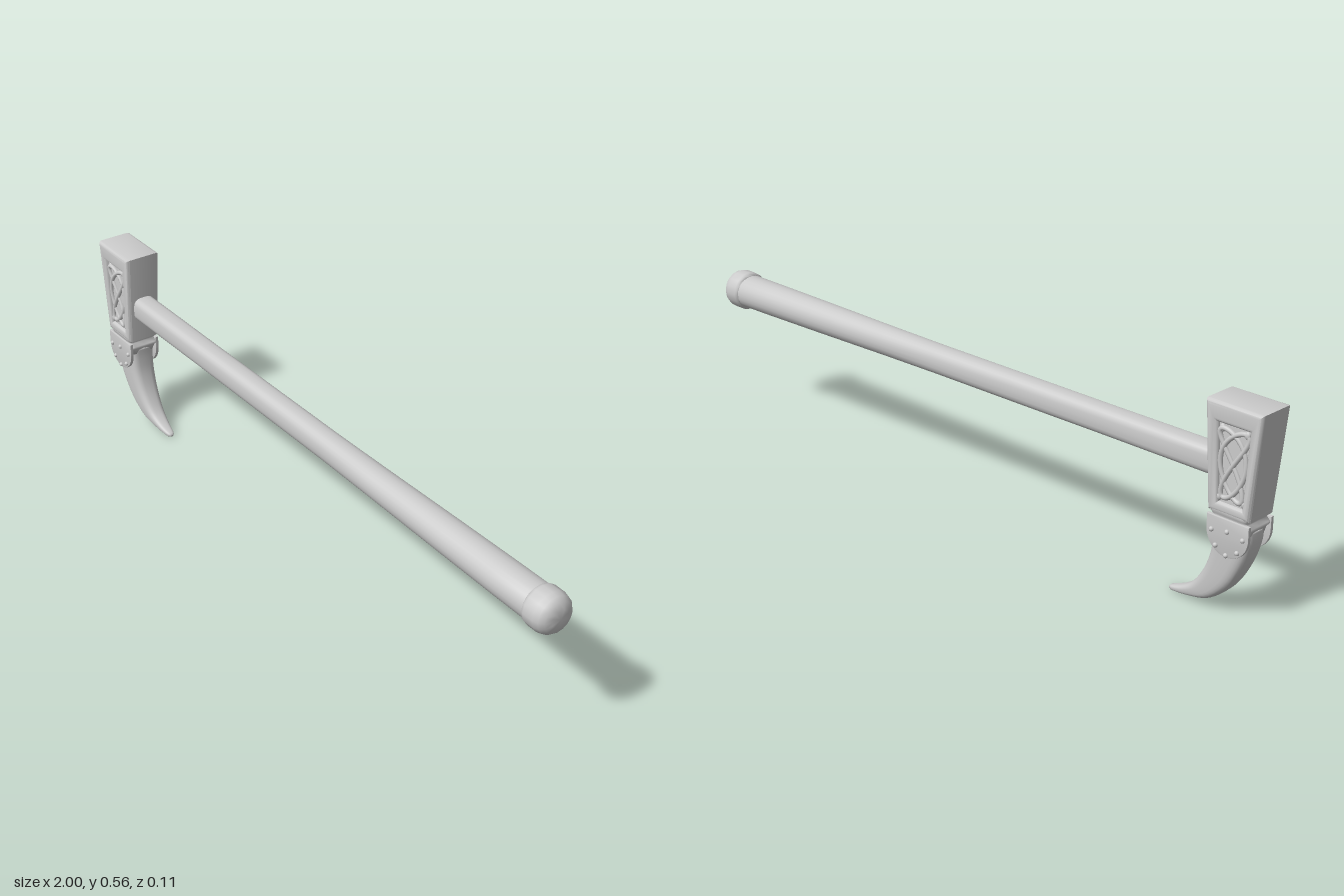
import * as THREE from 'three';
import { toCreasedNormals } from 'three/addons/utils/BufferGeometryUtils.js';

const material = new THREE.MeshStandardMaterial({ color: 0xcccccc });

function add(parent, name, geometry) {
  const mesh = new THREE.Mesh(geometry, material);
  mesh.name = name;
  parent.add(mesh);
  return mesh;
}

// Skin over sections [x0, y0, x1, y1, halfZ]: two opposite edge points in the
// xy plane plus a half width in z; power sets how square the section is.
function loft(sections, sides, powerAt) {
  const pos = [], index = [];
  const soft = (v, p) => Math.sign(v) * Math.abs(v) ** (2 / p);
  sections.forEach(([x0, y0, x1, y1, hz], i) => {
    const p = powerAt(i / (sections.length - 1));
    for (let j = 0; j < sides; j++) {
      const a = (j / sides) * Math.PI * 2;
      const u = soft(Math.cos(a), p), w = soft(Math.sin(a), p);
      pos.push((x0 + x1) / 2 + u * (x1 - x0) / 2, (y0 + y1) / 2 + u * (y1 - y0) / 2, w * hz);
    }
  });
  const last = (sections.length - 1) * sides;
  for (let i = 0; i < last; i += sides) {
    for (let j = 0; j < sides; j++) {
      const k = (j + 1) % sides;
      index.push(i + j, i + k, i + sides + j, i + k, i + sides + k, i + sides + j);
    }
  }
  for (const s of [sections[0], sections[sections.length - 1]]) {
    pos.push((s[0] + s[2]) / 2, (s[1] + s[3]) / 2, 0);
  }
  const c = last + sides;
  for (let j = 0; j < sides; j++) {
    const k = (j + 1) % sides;
    index.push(c, k, j, c + 1, last + j, last + k);
  }
  const g = new THREE.BufferGeometry();
  g.setAttribute('position', new THREE.Float32BufferAttribute(pos, 3));
  g.setIndex(index);
  g.computeVertexNormals();
  return g;
}

const polygon = (points, Type = THREE.Shape) => new Type(points.map(([x, y]) => new THREE.Vector2(x, y)));

// Hammer block: tapered, bevelled, with a window for the carved panels
function headBlock() {
  const shape = polygon([[-0.965, 0.295], [-0.863, 0.295], [-0.846, 0.554], [-0.989, 0.554]]);
  shape.holes.push(polygon([[-0.962, 0.302], [-0.976, 0.524], [-0.86, 0.524], [-0.872, 0.302]], THREE.Path));
  const g = new THREE.ExtrudeGeometry(shape, {
    depth: 0.088, bevelEnabled: true, bevelThickness: 0.011, bevelSize: 0.011, bevelSegments: 3,
  });
  g.translate(0, 0, -0.044);
  const p = g.attributes.position;
  for (let i = 0; i < p.count; i++) {
    const t = (p.getY(i) - 0.285) / 0.28;
    p.setZ(i, p.getZ(i) * (0.92 + 0.09 * t));
  }
  return toCreasedNormals(g, 0.6);
}

// Interlaced strand that weaves over and under itself
class Knot extends THREE.Curve {
  getPoint(t, target = new THREE.Vector3()) {
    const a = t * Math.PI * 2;
    const y = 0.088 * Math.sin(2 * a);
    return target.set((0.037 + y * 0.06) * Math.sin(3 * a), y, 0.0015 * Math.cos(5 * a));
  }
}

export function createModel() {
  const model = new THREE.Group();

  // Head
  const head = new THREE.Group();
  head.name = 'head';
  model.add(head);
  add(head, 'headBlock', headBlock());
  add(head, 'panelCore', new THREE.BoxGeometry(0.118, 0.24, 0.084)).position.set(-0.917, 0.413, 0);
  add(head, 'collar', loft([
    [-0.966, 0.235, -0.86, 0.235, 0.036], [-0.968, 0.25, -0.858, 0.25, 0.042],
    [-0.974, 0.257, -0.852, 0.257, 0.049], [-0.974, 0.264, -0.852, 0.264, 0.049],
    [-0.966, 0.273, -0.862, 0.273, 0.044], [-0.969, 0.28, -0.858, 0.28, 0.046],
    [-0.975, 0.288, -0.853, 0.288, 0.05], [-0.974, 0.3, -0.853, 0.3, 0.049],
  ].reverse().map((s) => s), 40, () => 9));

  // Claw: outer edge, inner edge, half width
  const outer = new THREE.SplineCurve([
    [-0.968, 0.25], [-0.968, 0.215], [-0.95, 0.155], [-0.91, 0.083], [-0.85, 0.03], [-0.785, 0.011], [-0.725, 0.002],
  ].map((p) => new THREE.Vector2(...p)));
  const inner = new THREE.SplineCurve([
    [-0.858, 0.25], [-0.857, 0.215], [-0.85, 0.165], [-0.83, 0.11], [-0.797, 0.06], [-0.76, 0.032], [-0.719, 0.015],
  ].map((p) => new THREE.Vector2(...p)));
  const clawSections = [];
  for (let i = 0; i <= 24; i++) {
    const t = i / 24, a = outer.getPoint(t), b = inner.getPoint(t);
    clawSections.push([a.x, a.y, b.x, b.y, 0.01 + 0.031 * (1 - t ** 2.2)]);
  }
  const tip = clawSections[24];
  clawSections.push([tip[0] + 0.009, tip[1] + 0.003, tip[2] + 0.003, tip[3] - 0.004, 0.005]);
  add(model, 'claw', loft(clawSections, 32, (t) => 4 - 1.6 * t));

  // Carved panels, cheek plates and rivets on both faces
  const plate = new THREE.Shape();
  plate.moveTo(-0.06, 0.025);
  plate.lineTo(-0.06, -0.008);
  plate.absellipse(0, -0.008, 0.06, 0.062, Math.PI, Math.PI * 2, false);
  plate.lineTo(0.06, 0.025);
  plate.closePath();
  const plateGeometry = toCreasedNormals(new THREE.ExtrudeGeometry(plate, {
    depth: 0.006, bevelThickness: 0.002, bevelSize: 0.002, bevelSegments: 2, curveSegments: 20,
  }), 0.5);
  const knotGeometry = new THREE.TubeGeometry(new Knot(), 160, 0.0065, 8, true);
  const rivetGeometry = new THREE.SphereGeometry(0.0065, 12, 8);
  const rivets = [[-0.046, 0.001], [0, 0.008], [0.046, 0.001], [-0.032, -0.037], [0.032, -0.037], [0, -0.054]];
  for (const [name, turn] of [['front', 0], ['back', Math.PI]]) {
    const side = new THREE.Group();
    side.name = name + 'Ornament';
    side.position.x = -0.915;
    side.rotation.y = turn;
    model.add(side);
    const mirror = turn ? -1 : 1;
    add(side, 'knotwork', knotGeometry).position.set(-0.002 * mirror, 0.413, 0.043);
    for (const y of [0.325, 0.5]) {
      for (const x of [-0.036, 0.036]) {
        const boss = add(side, 'panelBoss', rivetGeometry);
        boss.position.set(x - 0.002 * mirror, y, 0.042);
        boss.scale.set(1.3, 1.6, 1);
      }
    }
    add(side, 'cheekPlate', plateGeometry).position.set(0, 0.248, 0.041);
    for (const [x, y] of rivets) add(side, 'rivet', rivetGeometry).position.set(x, 0.236 + y, 0.049);
  }

  // Handle: squarish at the head, swelling to a round grip
  const handleSections = [
    [-0.88, 0.036, 0.033], [-0.7, 0.036, 0.034], [-0.5, 0.0365, 0.034], [-0.2, 0.038, 0.035],
    [0.1, 0.039, 0.037], [0.3, 0.041, 0.042], [0.6, 0.045, 0.048], [0.8, 0.047, 0.051], [0.94, 0.048, 0.052],
  ].map(([x, hy, hz]) => {
    const y = 0.393 - 0.002 * (x + 0.88);
    return [x, y - hy, x, y + hy, hz];
  });
  add(model, 'handle', loft(handleSections, 24, (t) => 3.4 - 1.3 * Math.min(1, t * 1.5)));

  // Domed end cap
  const cap = [[0, 0], [0.05, 0], [0.055, 0.004], [0.057, 0.012], [0.057, 0.045], [0.053, 0.06],
    [0.043, 0.072], [0.025, 0.079], [0, 0.081]].map((p) => new THREE.Vector2(...p));
  const pommel = add(model, 'endCap', toCreasedNormals(new THREE.LatheGeometry(cap, 16), 0.8));
  pommel.rotation.z = -Math.PI / 2;
  pommel.position.set(0.919, 0.389, 0);

  return model;
}
